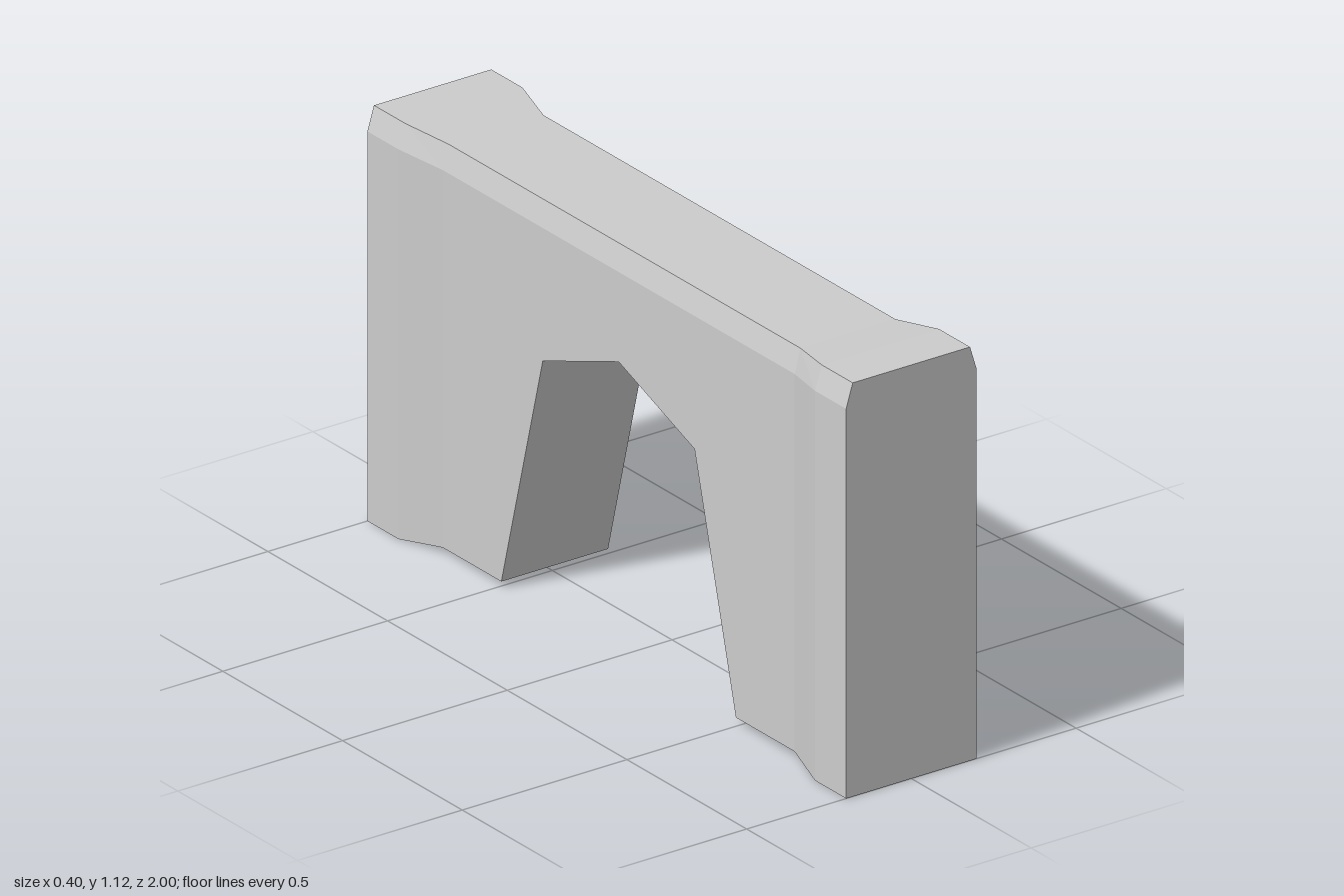
import * as THREE from 'three';

// Stations from the front end to the middle: [z, half width, half top width, underside, shoulder, top]
const HALF = [
  [1.0, 0.198, 0.178, 0, 1.055, 1.12],
  [0.87, 0.198, 0.178, 0, 1.055, 1.12],
  [0.735, 0.162, 0.144, 0.018, 1.04, 1.105],
  [0.49, 0.162, 0.144, 0.018, 1.04, 1.105],
  [0.317, 0.162, 0.144, 0.68, 1.04, 1.105],
  [0, 0.162, 0.144, 0.797, 1.04, 1.105],
];

// Six-cornered section with chamfered top edges, counter-clockwise from the front
function section([z, w, tw, b, s, t]) {
  return [[-w, b, z], [w, b, z], [w, s, z], [tw, t, z], [-tw, t, z], [-w, s, z]];
}

// Skin the sections from back to front and close both ends
function loft(sections) {
  const pos = [];
  const tri = (...corners) => corners.forEach((p) => pos.push(...p));
  const n = sections[0].length;
  for (let i = 0; i < sections.length - 1; i++) {
    const back = sections[i], front = sections[i + 1];
    for (let j = 0; j < n; j++) {
      const k = (j + 1) % n;
      tri(back[j], back[k], front[k]);
      tri(back[j], front[k], front[j]);
    }
  }
  const first = sections[0], last = sections[sections.length - 1];
  for (let j = 1; j < n - 1; j++) {
    tri(last[0], last[j], last[j + 1]);
    tri(first[0], first[j + 1], first[j]);
  }
  const geometry = new THREE.BufferGeometry();
  geometry.setAttribute('position', new THREE.Float32BufferAttribute(pos, 3));
  geometry.computeVertexNormals();
  return geometry;
}

export function createModel() {
  const group = new THREE.Group();
  group.name = 'archedBarrier';

  // Mirror the half stations to get the whole wall, flared at both ends
  const backHalf = HALF.slice(0, -1).map(([z, ...rest]) => [-z, ...rest]);
  const stations = [...backHalf, ...[...HALF].reverse()];

  const wall = new THREE.Mesh(
    loft(stations.map(section)),
    new THREE.MeshStandardMaterial({ color: 0xcccccc, flatShading: true })
  );
  wall.name = 'archedWall';
  group.add(wall);
  return group;
}
